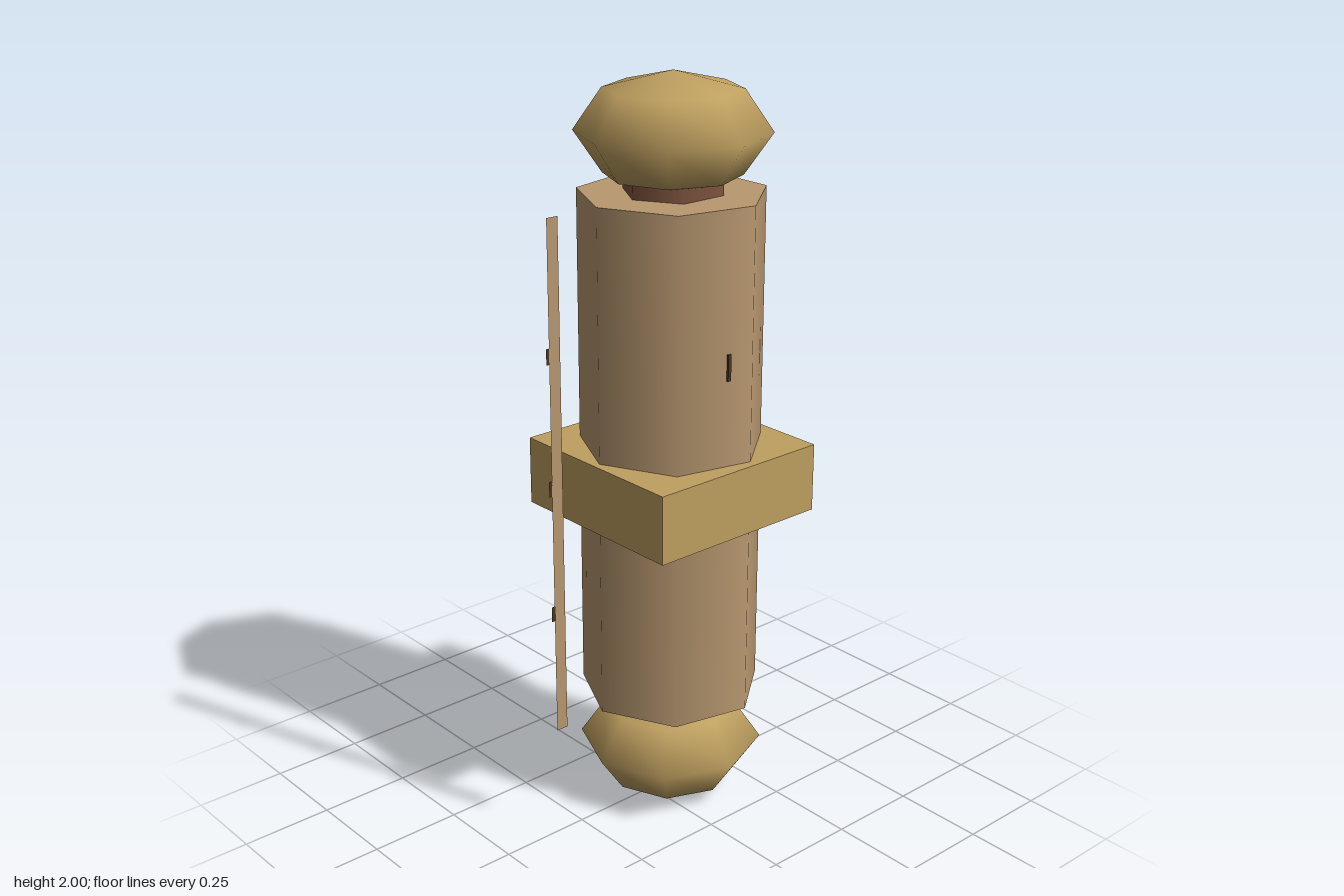
import * as THREE from 'three';

const paint = (color) => new THREE.MeshStandardMaterial({ color, side: THREE.DoubleSide });

export function createModel() {
  const model = new THREE.Group();
  const parchment = paint(0xb89870);
  const brass = paint(0xbfa060);
  const wood = paint(0x80553f);
  const ink = paint(0x4a3524);
  const axisZ = -0.073;

  const add = (name, geometry, material, x, y, z) => {
    const mesh = new THREE.Mesh(geometry, material);
    mesh.name = name;
    mesh.position.set(x, y, z);
    model.add(mesh);
    return mesh;
  };

  // Seven-sided rolled body
  add('rolledBody', new THREE.CylinderGeometry(0.247, 0.247, 1.388, 7), parchment, 0, 1.004, axisZ);

  // Square band around the middle
  add('band', new THREE.BoxGeometry(0.53, 0.185, 0.53), brass, 0, 0.937, axisZ + 0.001);

  // Six-sided rod ends with flattened eight-sided knobs
  for (const [label, side] of [['top', 1], ['bottom', -1]]) {
    add(label + 'Rod', new THREE.CylinderGeometry(0.133, 0.133, 0.2, 6), wood, 0, 1 + side * 0.76, axisZ);
    const knob = add(label + 'Knob', new THREE.SphereGeometry(0.25, 8, 4), brass, 0, 1 + side * 0.85, axisZ);
    knob.scale.y = 0.6;
  }

  // Paper-thin strip standing edge-on before the body, with three small marks
  const strip = add('looseStrip', new THREE.PlaneGeometry(0.034, 1.388), parchment, 0, 1.004, 0.311);
  strip.rotation.y = Math.PI / 2;
  for (const y of [0.655, 1.004, 1.353]) {
    const mark = add('stripMark', new THREE.PlaneGeometry(0.012, 0.042), ink, 0, y, 0.331);
    mark.rotation.y = Math.PI / 2;
  }

  // Tiny inlays set almost flush in the sides of the body
  for (const [x, y] of [[0.226, 1.295], [-0.226, 0.715]]) {
    add('sideInlay', new THREE.BoxGeometry(0.008, 0.07, 0.01), ink, x, y, -0.06);
  }

  return model;
}
